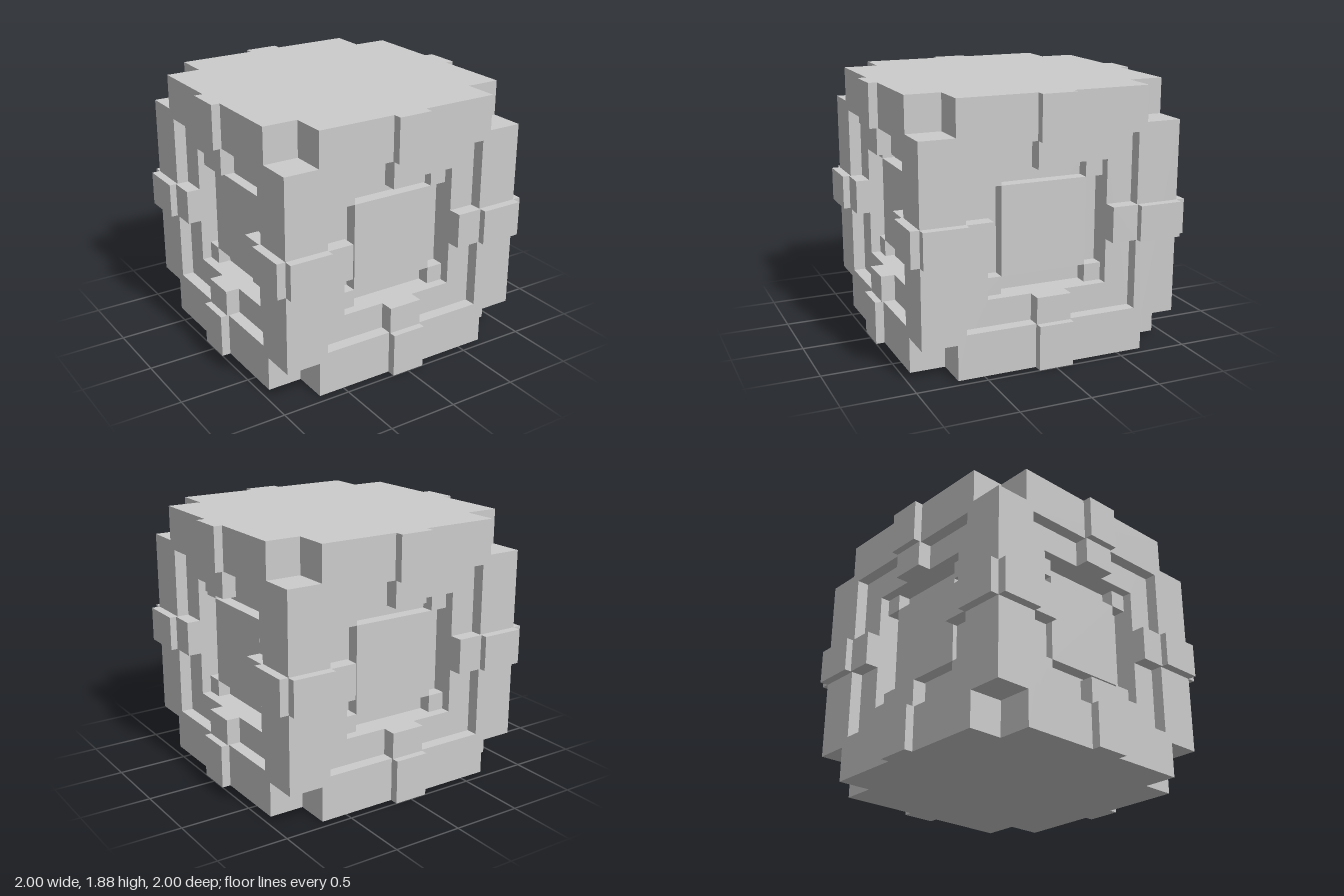
import * as THREE from 'three';

const HALF = 0.9375;      // half size of the body
const CORE = 0.6875;      // half size left after the corner notches
const RING = 0.85;        // depth of the stepped ring
const PANEL = 0.78;       // depth of the centre panel
const mat = new THREE.MeshStandardMaterial({ color: 0xcccccc, flatShading: true });

// Box given by its minimum and maximum on each axis
function block(name, [x0, x1], [y0, y1], [z0, z1]) {
  const geo = new THREE.BoxGeometry(x1 - x0, y1 - y0, z1 - z0);
  geo.translate((x0 + x1) / 2, (y0 + y1) / 2, (z0 + z1) / 2);
  const mesh = new THREE.Mesh(geo, mat);
  mesh.name = name;
  return mesh;
}

// Upright slab with a square opening, from z0 to z1
function frame(name, hole, z0, z1) {
  const rect = (Type, w, h) => new Type([[-w, -h], [w, -h], [w, h], [-w, h]].map(p => new THREE.Vector2(...p)));
  const shape = rect(THREE.Shape, CORE, HALF);
  shape.holes.push(rect(THREE.Path, hole, hole));
  const geo = new THREE.ExtrudeGeometry(shape, { depth: z1 - z0, bevelEnabled: false });
  geo.translate(0, 0, z0);
  const mesh = new THREE.Mesh(geo, mat);
  mesh.name = name;
  return mesh;
}

// One side: stepped frame, sunken panel, corner blocks and edge clamps
function createSide() {
  const side = new THREE.Group();
  side.name = 'side';
  side.add(frame('innerFrame', 0.4375, CORE, RING));
  side.add(frame('outerFrame', 0.625, RING, HALF));
  side.add(block('centrePanel', [-0.3125, 0.3125], [-0.3125, 0.3125], [CORE, PANEL]));

  for (let i = 0; i < 4; i++) {
    const quarter = new THREE.Group();
    quarter.name = 'clampAndCornerBlock';
    quarter.add(block('cornerBlock', [0.3125, 0.4375], [0.3125, 0.4375], [CORE, PANEL]));
    quarter.add(block('outerClamp', [-0.125, 0.125], [0.625, HALF], [RING, 1]));
    quarter.add(block('innerClamp', [-0.125, 0.125], [0.4375, 0.625], [RING, 0.95]));
    quarter.rotation.z = i * Math.PI / 2;
    side.add(quarter);
  }

  // Upright edge post between two notched corners
  side.add(block('edgePost', [CORE, HALF], [-CORE, CORE], [CORE, HALF]));
  return side;
}

export function createModel() {
  const model = new THREE.Group();
  model.name = 'cube';
  const body = new THREE.Group();
  body.name = 'body';
  body.position.y = HALF;
  body.add(block('core', [-CORE, CORE], [-HALF, HALF], [-CORE, CORE]));
  for (let i = 0; i < 4; i++) {
    const side = createSide();
    side.rotation.y = i * Math.PI / 2;
    body.add(side);
  }
  model.add(body);
  return model;
}
